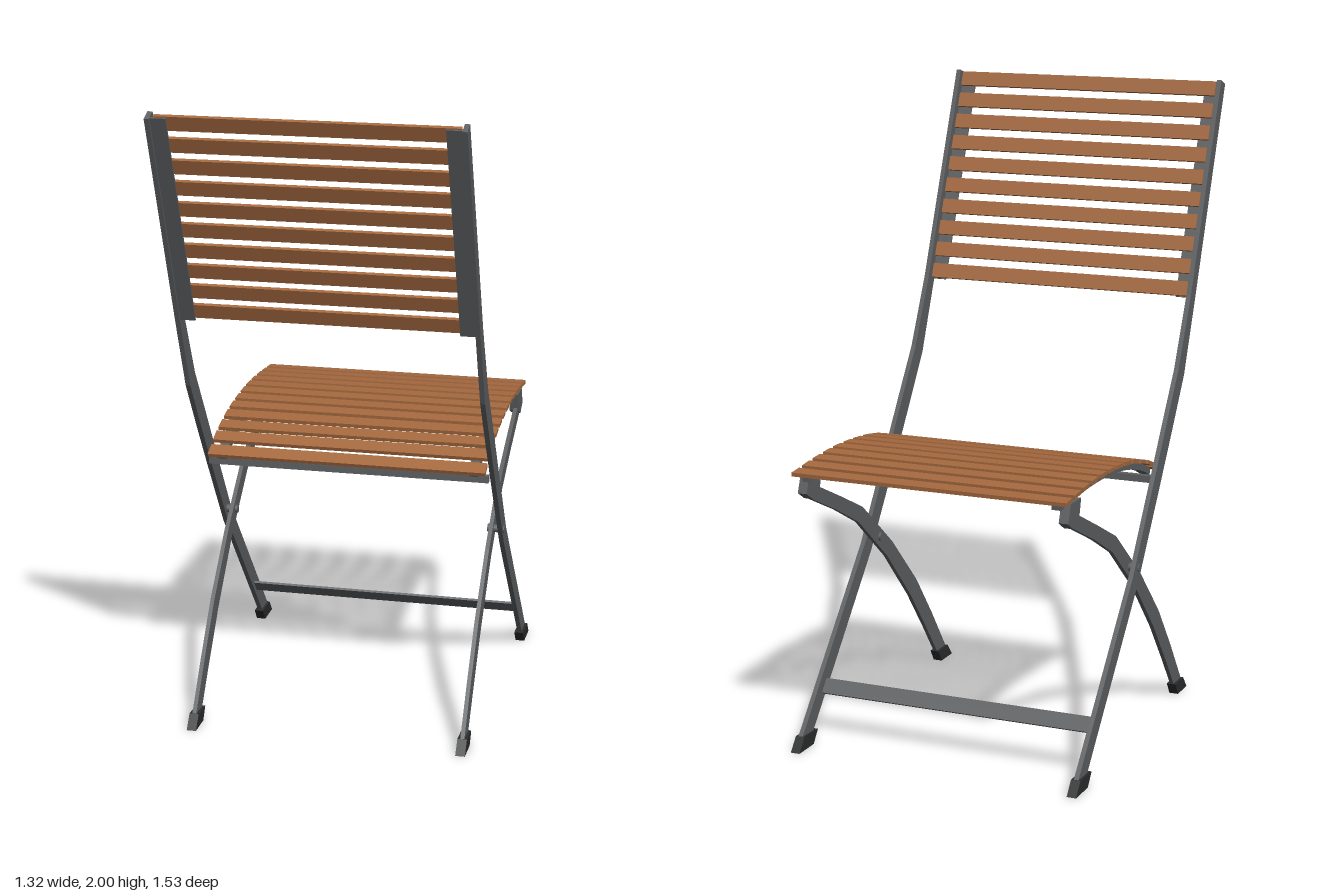
import * as THREE from 'three';

const wood = new THREE.MeshStandardMaterial({ color: 0xa5693f });
wood.name = 'wood';
const steel = new THREE.MeshStandardMaterial({ color: 0x5e6062 });
steel.name = 'steel';
const rubber = new THREE.MeshStandardMaterial({ color: 0x2b2c2d });
rubber.name = 'rubber';

// Side-profile outline of [z, y] points, extruded across x and centred on it
function plate(outline, thick) {
  const shape = new THREE.Shape(outline.map(([z, y]) => new THREE.Vector2(z, y)));
  const geo = new THREE.ExtrudeGeometry(shape, { depth: thick, bevelEnabled: false });
  return geo.translate(0, 0, -thick / 2).rotateY(-Math.PI / 2);
}

// Flat bar following a centreline of [z, y, width]
function bar(path, thick) {
  const a = [], b = [];
  path.forEach(([z, y, w], i) => {
    const p = path[Math.max(i - 1, 0)], q = path[Math.min(i + 1, path.length - 1)];
    const len = Math.hypot(q[0] - p[0], q[1] - p[1]);
    const nz = -(q[1] - p[1]) / len * w / 2, ny = (q[0] - p[0]) / len * w / 2;
    a.push([z - nz, y - ny]);
    b.unshift([z + nz, y + ny]);
  });
  return plate([...a, ...b], thick);
}

export function createModel() {
  const model = new THREE.Group();
  model.name = 'foldingChair';
  const chair = new THREE.Group();
  chair.name = 'chair';
  chair.rotation.y = 0.343;
  model.add(chair);

  function add(name, geo, mat, x = 0, y = 0, z = 0, tilt = 0) {
    const mesh = new THREE.Mesh(geo, mat);
    mesh.name = name;
    mesh.position.set(x, y, z);
    mesh.rotation.x = tilt;
    chair.add(mesh);
  }

  // Long rails run from the front feet to the top of the back
  const longRail = bar([
    [-0.59, 0.02, 0.055], [-0.139, 0.53, 0.055], [0.041, 0.79, 0.06],
    [0.15, 0.95, 0.062], [0.255, 1.106, 0.06], [0.356, 1.33, 0.045], [0.62, 1.99, 0.042],
  ], 0.015);
  // Short legs run from the rear feet to the front of the seat
  const shortLeg = bar([
    [0.365, 0.02, 0.055], [0.25, 0.175, 0.06], [0.135, 0.32, 0.062], [-0.04, 0.5, 0.055],
    [-0.246, 0.668, 0.052], [-0.40, 0.745, 0.045], [-0.585, 0.83, 0.045],
  ], 0.013);
  const frontShoe = plate([[-0.645, 0], [-0.55, 0], [-0.52, 0.04], [-0.61, 0.042]], 0.03);
  const rearShoe = plate([[0.42, 0], [0.335, 0], [0.31, 0.04], [0.385, 0.042]], 0.03);
  const bracket = plate([[-0.61, 0.885], [-0.63, 0.83], [-0.59, 0.805], [-0.545, 0.825], [-0.53, 0.885]], 0.03);

  // Seat curve, from the front edge to the dropped rear edge
  const seatCurve = new THREE.CatmullRomCurve3([
    [-0.635, 0.897], [-0.5, 0.909], [-0.35, 0.914], [-0.2, 0.906],
    [-0.1, 0.893], [-0.03, 0.877], [0.04, 0.857], [0.107, 0.828],
  ].map(([z, y]) => new THREE.Vector3(0, y, z)));
  const seatFrame = bar(seatCurve.getSpacedPoints(14).map(p => [p.z, p.y - 0.017, 0.022]), 0.03);

  const backTilt = 0.378;
  const backStrip = new THREE.BoxGeometry(0.055, 0.71, 0.006);
  const bolt = new THREE.CylinderGeometry(0.013, 0.013, 0.055, 12).rotateZ(Math.PI / 2);

  for (const s of [1, -1]) {
    const side = s > 0 ? 'left' : 'right';
    add(side + 'LongRail', longRail, steel, s * 0.46);
    add(side + 'ShortLeg', shortLeg, steel, s * 0.43);
    add(side + 'FrontShoe', frontShoe, rubber, s * 0.46);
    add(side + 'RearShoe', rearShoe, rubber, s * 0.43);
    add(side + 'SeatBracket', bracket, steel, s * 0.425);
    add(side + 'SeatFrame', seatFrame, steel, s * 0.405);
    add(side + 'BackStrip', backStrip, steel, s * 0.433, 1.655, 0.499, backTilt);
    add(side + 'PivotBolt', bolt, steel, s * 0.443, 0.56, -0.112);
  }

  // Cross bars between the long rails
  add('footBar', new THREE.BoxGeometry(0.92, 0.05, 0.008), steel, 0, 0.16, -0.455, 0.7);
  add('seatBar', new THREE.BoxGeometry(0.9, 0.022, 0.02), steel, 0, 0.792, 0.088);

  // Backrest slats
  const backSlat = new THREE.BoxGeometry(0.895, 0.047, 0.012);
  for (let i = 0; i < 10; i++) {
    const y = 1.354 + i * 0.0682;
    add('backSlat' + (i + 1), backSlat, wood, 0, y, 0.362 + (y - 1.354) * 0.397, backTilt);
  }

  // Seat slats follow the seat curve
  const seatSlat = new THREE.BoxGeometry(0.89, 0.012, 0.048);
  for (let i = 0; i < 12; i++) {
    const p = seatCurve.getPointAt(i / 11), t = seatCurve.getTangentAt(i / 11);
    add('seatSlat' + (i + 1), seatSlat, wood, 0, p.y, p.z, -Math.atan2(t.y, t.z));
  }
  return model;
}
